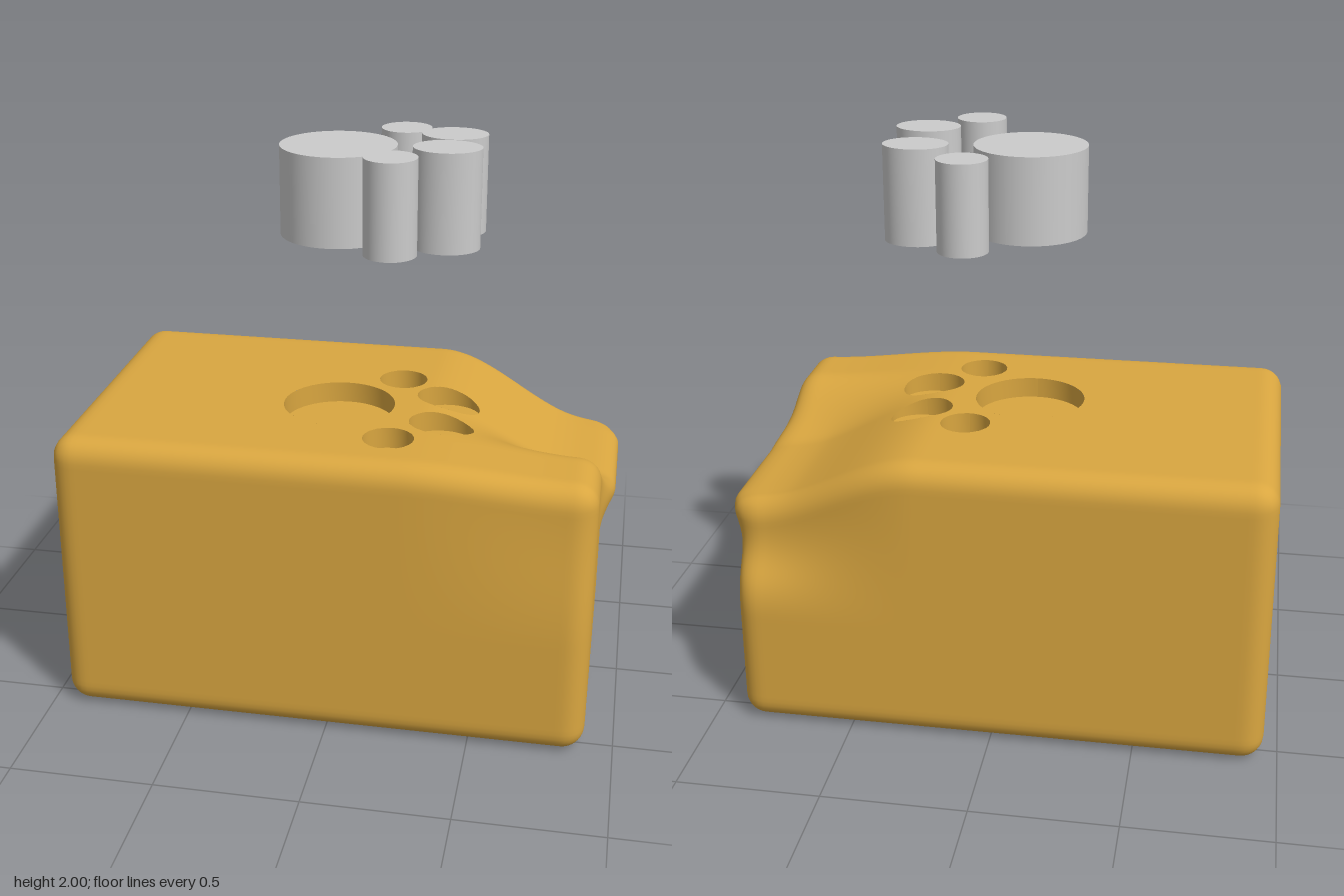
import * as THREE from 'three';
import { mergeVertices } from 'three/addons/utils/BufferGeometryUtils.js';

const { smoothstep, clamp } = THREE.MathUtils;

// block extents
const MIN = new THREE.Vector3(-0.95, 0, -0.6);
const MAX = new THREE.Vector3(0.9, 1.035, 0.59);
const RADIUS = 0.08;
const FLOOR = 0.96;

// paw pads: centre x/z, radii x/z, bottom and top of the floating plug
const PADS = [
  { name: 'palmPad', x: -0.04, z: 0.08, rx: 0.198, rz: 0.198, y0: 1.665, y1: 1.97 },
  { name: 'toePad1', x: 0.15, z: -0.19, rx: 0.088, rz: 0.088, y0: 1.66, y1: 1.975 },
  { name: 'toePad2', x: 0.335, z: -0.058, rx: 0.113, rz: 0.096, y0: 1.655, y1: 1.99 },
  { name: 'toePad3', x: 0.34, z: 0.183, rx: 0.114, rz: 0.097, y0: 1.665, y1: 2.0 },
  { name: 'toePad4', x: 0.18, z: 0.353, rx: 0.088, rz: 0.088, y0: 1.68, y1: 2.0 },
];

// sculpted slump: sunken top at +x, pinched upper corners, bulging lip
function sculpt(p) {
  const along = smoothstep(p.x, 0.25, 0.86);
  const high = smoothstep(p.y, 0.42, 0.97);
  const valley = 1 - smoothstep(p.z, 0.0, 0.32);
  const back = 1 - smoothstep(p.z, -0.6, -0.3);
  const front = smoothstep(p.z, 0.35, 0.59);
  p.y -= (0.045 + 0.175 * valley) * along * high;
  p.z += (0.1 * back - 0.03 * front) * along * high;
  const lip = (1 - smoothstep(p.z, 0.0, 0.28)) * smoothstep(p.z, -0.54, -0.36);
  p.x += 0.055 * lip * smoothstep(p.x, 0.7, 0.88) * Math.exp(-(((p.y - 0.78) / 0.09) ** 2));
  return p;
}

// rounded block with openings for the pads cut in its top
function blockGeometry() {
  const size = MAX.clone().sub(MIN);
  const mid = MAX.clone().add(MIN).multiplyScalar(0.5);
  let geo = new THREE.BoxGeometry(size.x, size.y, size.z, 92, 52, 60);
  geo.translate(mid.x, mid.y, mid.z);
  geo.deleteAttribute('uv');
  geo.deleteAttribute('normal');
  geo = mergeVertices(geo);
  const pos = geo.attributes.position;
  const p = new THREE.Vector3();
  const inner = new THREE.Vector3();

  // round the edges
  for (let i = 0; i < pos.count; i++) {
    p.fromBufferAttribute(pos, i);
    for (const k of ['x', 'y', 'z']) inner[k] = clamp(p[k], MIN[k] + RADIUS, MAX[k] - RADIUS);
    p.sub(inner).setLength(RADIUS).add(inner);
    pos.setXYZ(i, p.x, p.y, p.z);
  }

  // drop triangles inside an opening, pull the border vertices onto its rim
  const padOf = [], scale = [];
  for (let i = 0; i < pos.count; i++) {
    p.fromBufferAttribute(pos, i);
    if (p.y < MAX.y - 0.002) continue;
    for (const pad of PADS) {
      const f = Math.hypot((p.x - pad.x) / pad.rx, (p.z - pad.z) / pad.rz);
      if (f < 1) { padOf[i] = pad; scale[i] = f; }
    }
  }
  const kept = [], rim = new Set();
  const idx = geo.index.array;
  for (let t = 0; t < idx.length; t += 3) {
    const tri = [idx[t], idx[t + 1], idx[t + 2]];
    if (tri.every((v) => padOf[v])) continue;
    kept.push(...tri);
    tri.forEach((v) => padOf[v] && rim.add(v));
  }
  for (const v of rim) {
    const { x, z } = padOf[v];
    pos.setX(v, x + (pos.getX(v) - x) / scale[v]);
    pos.setZ(v, z + (pos.getZ(v) - z) / scale[v]);
  }
  geo.setIndex(kept);

  for (let i = 0; i < pos.count; i++) {
    sculpt(p.fromBufferAttribute(pos, i));
    pos.setXYZ(i, p.x, p.y, p.z);
  }
  geo.computeVertexNormals();
  return geo;
}

// wall of a recess, from its flat floor up to the sculpted surface
function recessWall(pad) {
  const geo = new THREE.CylinderGeometry(1, 1, 1, 64, 1, true);
  const pos = geo.attributes.position;
  for (let i = 0; i < pos.count; i++) {
    const x = pad.x + pos.getX(i) * pad.rx;
    const z = pad.z + pos.getZ(i) * pad.rz;
    const top = sculpt(new THREE.Vector3(x, MAX.y, z)).y;
    pos.setXYZ(i, x, pos.getY(i) > 0 ? top : Math.min(FLOOR, top - 0.01), z);
  }
  geo.computeVertexNormals();
  return geo;
}

export function createModel() {
  const model = new THREE.Group();
  const gold = new THREE.MeshStandardMaterial({ color: 0xd9a640 });
  const goldInside = new THREE.MeshStandardMaterial({ color: 0xd9a640, side: THREE.DoubleSide });
  const grey = new THREE.MeshStandardMaterial({ color: 0xcccccc });
  const add = (name, geo, mat) => {
    const mesh = new THREE.Mesh(geo, mat);
    mesh.name = name;
    model.add(mesh);
    return mesh;
  };

  add('block', blockGeometry(), gold);

  for (const pad of PADS) {
    // recess in the block
    add(pad.name + 'RecessWall', recessWall(pad), goldInside);
    const floor = add(pad.name + 'RecessFloor', new THREE.CircleGeometry(1, 64).rotateX(-Math.PI / 2), gold);
    floor.scale.set(pad.rx, 1, pad.rz);
    floor.position.set(pad.x, FLOOR, pad.z);

    // matching plug floating above
    const plug = add(pad.name, new THREE.CylinderGeometry(1, 1, pad.y1 - pad.y0, 64), grey);
    plug.scale.set(pad.rx, 1, pad.rz);
    plug.position.set(pad.x, (pad.y0 + pad.y1) / 2, pad.z);
  }
  return model;
}
